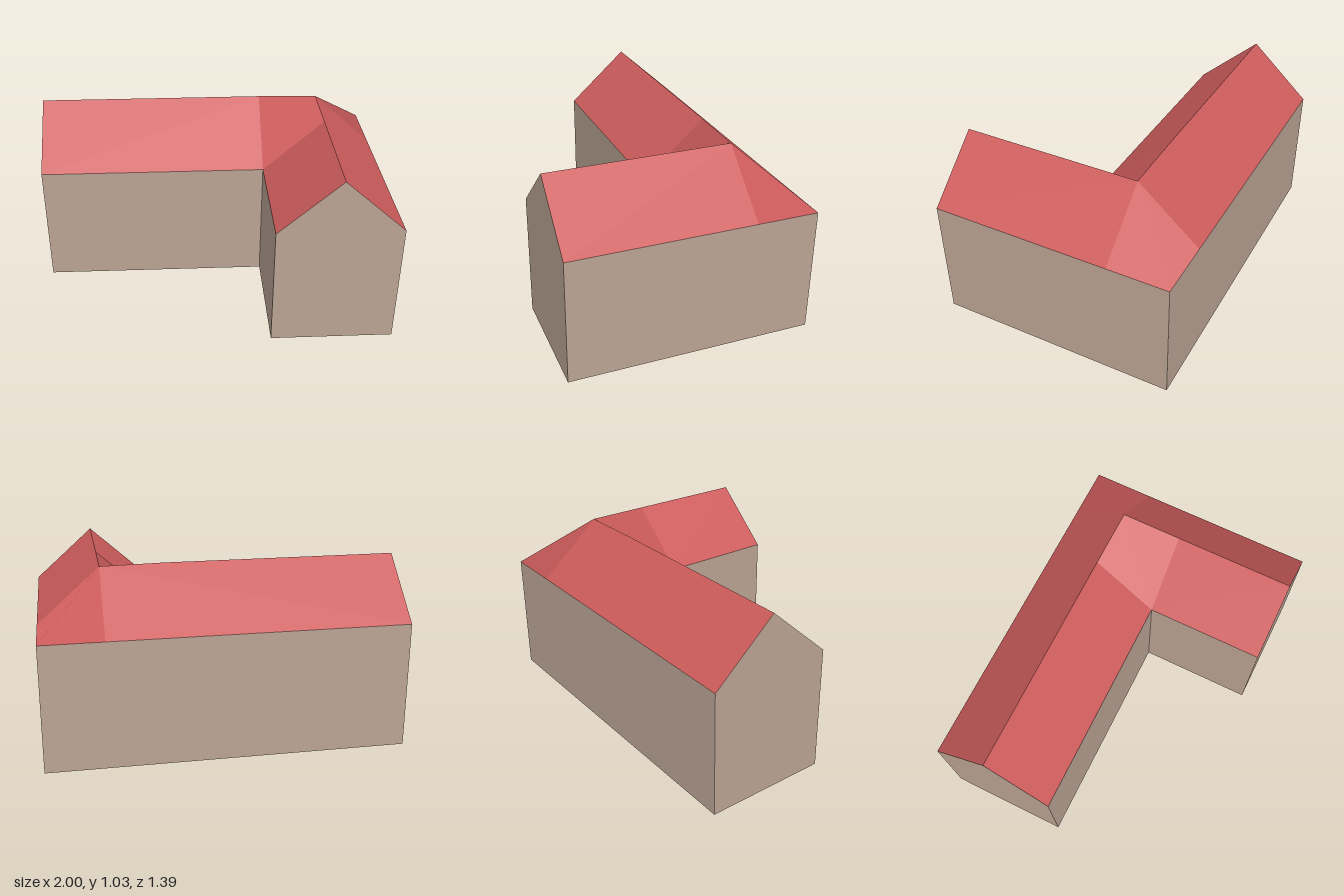
import * as THREE from 'three';

// Plan and height measurements of the L-shaped house
const D = 0.694;                  // half depth
const XI = 0.307, ZI = 0.008;     // inner corner of the L
const MX = 0.653, MZ = -0.343;    // ridge lines of the two wings
const EAVE = 0.713, RIDGE_BACK = 1.028, RIDGE_SIDE = 1.022;

function material(name, color) {
  const m = new THREE.MeshStandardMaterial({ color });
  m.name = name;
  return m;
}

// One face from corners listed anticlockwise, with a single shared normal
function panel(name, mat, corners) {
  const pts = corners.map((c) => new THREE.Vector3(...c));
  const normal = new THREE.Vector3();
  pts.forEach((p, i) => normal.add(p.clone().cross(pts[(i + 1) % pts.length])));
  normal.normalize();
  const index = [];
  for (let i = 1; i < pts.length - 1; i++) index.push(0, i, i + 1);
  const geo = new THREE.BufferGeometry();
  geo.setAttribute('position', new THREE.Float32BufferAttribute(corners.flat(), 3));
  geo.setAttribute('normal', new THREE.Float32BufferAttribute(pts.flatMap(() => normal.toArray()), 3));
  geo.setIndex(index);
  const mesh = new THREE.Mesh(geo, mat);
  mesh.name = name;
  return mesh;
}

function subgroup(parent, name) {
  const g = new THREE.Group();
  g.name = name;
  parent.add(g);
  return g;
}

export function createModel() {
  const house = new THREE.Group();
  house.name = 'house';
  const stone = material('stone', 0xbba494);
  const red = material('roofRed', 0xcd5c5c);
  const pink = material('pink', 0xdb7093);
  const tan = material('tan', 0xcd853f);

  // Walls follow the footprint; two of them rise to a gable peak
  const walls = subgroup(house, 'walls');
  const plan = [[-1, ZI], [XI, ZI], [XI, D], [1, D], [1, -D], [-1, -D]];
  const names = ['frontWall', 'innerWall', 'frontGable', 'leftWall', 'backWall', 'rightGable'];
  const peaks = { frontGable: [MX, RIDGE_SIDE, D], rightGable: [-1, RIDGE_BACK, MZ] };
  names.forEach((name, i) => {
    const [ax, az] = plan[i];
    const [bx, bz] = plan[(i + 1) % plan.length];
    const corners = [[ax, 0, az], [bx, 0, bz], [bx, EAVE, bz]];
    if (peaks[name]) corners.push(peaks[name]);
    corners.push([ax, EAVE, az]);
    walls.add(panel(name, stone, corners));
  });

  // Roof slopes, joined by a hip at the outer corner and a valley at the inner one
  const roof = subgroup(house, 'roof');
  const apex = [MX, RIDGE_SIDE, MZ];
  const bend = [XI, RIDGE_BACK, MZ];
  const sideEnd = [MX, RIDGE_SIDE, D];
  const backEnd = [-1, RIDGE_BACK, MZ];
  const inner = [XI, EAVE, ZI];
  const slopes = {
    backSlope: [apex, [MX, EAVE, -D], [-1, EAVE, -D], backEnd, bend],
    frontSlope: [bend, backEnd, [-1, EAVE, ZI], inner],
    leftSlope: [[1, EAVE, D], [1, EAVE, MZ], apex, sideEnd],
    innerSlope: [sideEnd, [MX, RIDGE_SIDE, ZI], inner, [XI, EAVE, D]],
    hip: [apex, [1, EAVE, MZ], [1, EAVE, -D], [MX, EAVE, -D]],
    valley: [inner, [MX, RIDGE_SIDE, ZI], apex, bend],
  };
  for (const [name, corners] of Object.entries(slopes)) roof.add(panel(name, red, corners));

  // Underside: the side wing is plain, the back wing is striped
  const floor = subgroup(house, 'floor');
  const floorPanel = (name, mat, x0, x1, z0, z1) =>
    floor.add(panel(name, mat, [[x0, 0, z0], [x1, 0, z0], [x1, 0, z1], [x0, 0, z1]]));
  floorPanel('sideWingFloor', red, XI, 1, -D, D);
  const edges = [XI, 0.12, -0.12, -0.36, -0.6, -0.84, -1];
  [red, pink, stone, red, tan, stone].forEach((mat, i) =>
    floorPanel('floorStripe', mat, edges[i + 1], edges[i], -D, ZI));

  return house;
}
